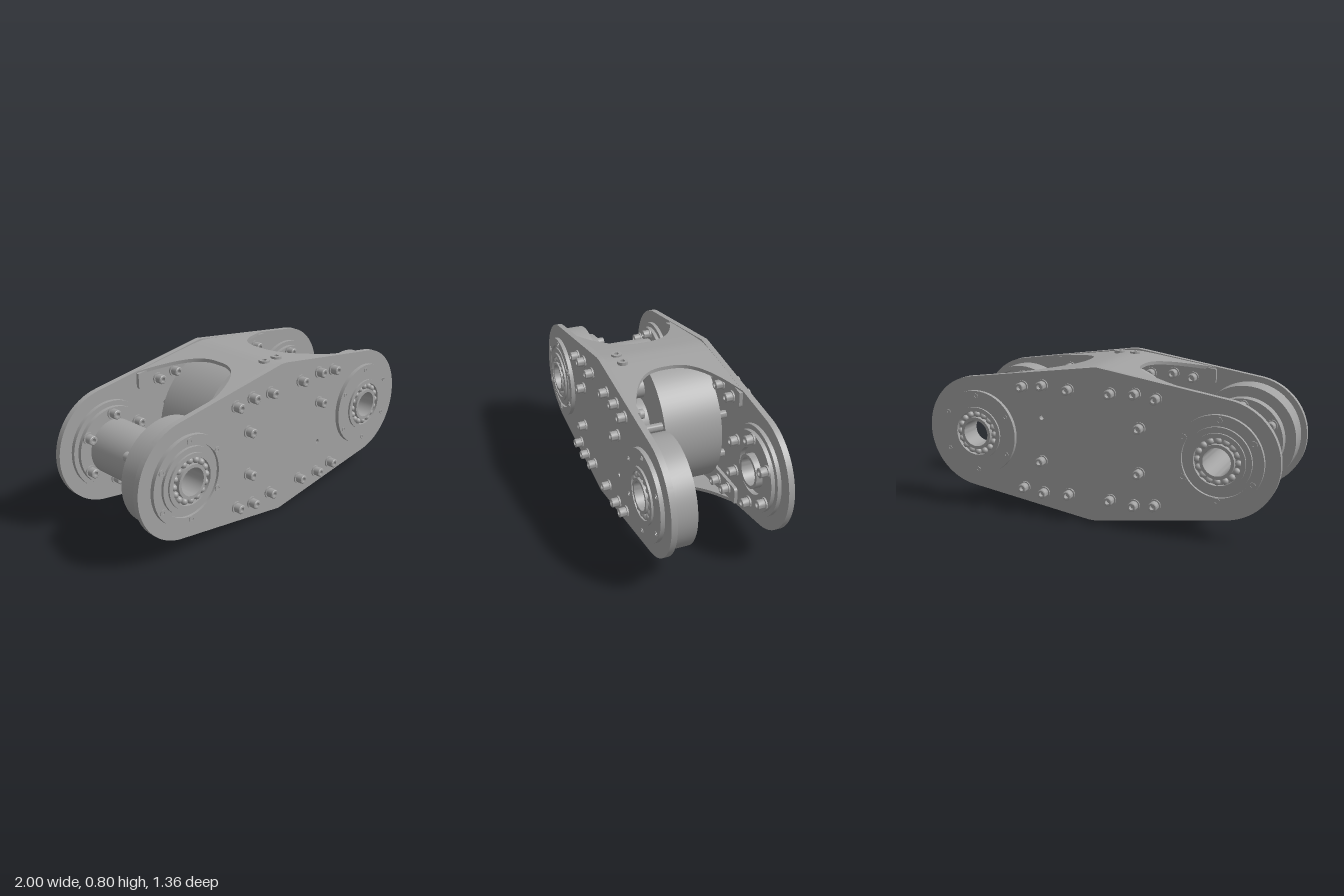
import * as THREE from 'three';
import { toCreasedNormals } from 'three/addons/utils/BufferGeometryUtils.js';

const steel = new THREE.MeshStandardMaterial({ color: 0xa2a2a2 });
steel.name = 'machinedGrey';

const PLATE_IN = 0.275, PLATE_OUT = 0.305, END = 0.66, R_END = 0.3;

function add(parent, name, geo, x = 0, y = 0, z = 0) {
  const m = new THREE.Mesh(geo, steel);
  m.name = name;
  m.position.set(x, y, z);
  parent.add(m);
  return m;
}

// Revolved profile of [radius, z] points around the z axis
function turned(points, segments) {
  const g = new THREE.LatheGeometry(points.map(p => new THREE.Vector2(p[0], p[1])), segments);
  g.rotateX(Math.PI / 2);
  return toCreasedNormals(g, 0.6);
}

// Flat ring between two radii and two depths
const ring = (ri, ro, z0, z1) => turned([[ri, z0], [ro, z0], [ro, z1], [ri, z1], [ri, z0]], 56);

const rod = (r, z0, z1, seg = 24) => turned([[0, z0], [r, z0], [r, z1], [0, z1]], seg);

// Socket head bolt with a washer, pointing to +z
const boltGeo = turned([[0, 0], [0.031, 0], [0.031, 0.008], [0.024, 0.008], [0.024, 0.042], [0.02, 0.045],
  [0.012, 0.045], [0.012, 0.022], [0, 0.022]], 14);
const ballGeo = new THREE.SphereGeometry(0.017, 10, 8);

function circleHole(shape, x, y, r) {
  const h = new THREE.Path();
  h.absarc(x, y, r, 0, Math.PI * 2, true);
  shape.holes.push(h);
}

// Side plate: two round ends joined by tangents to a peak in the middle
function plateGeometry() {
  const a = 0.145;
  const s = new THREE.Shape();
  s.moveTo(0.02, -0.4);
  s.absarc(END, 0, R_END, -Math.PI / 2 + a, Math.PI / 2 - a, false);
  s.lineTo(0.02, 0.4);
  s.lineTo(-0.02, 0.4);
  s.absarc(-END, 0, R_END, Math.PI / 2 + a, Math.PI * 1.5 - a, false);
  s.lineTo(-0.02, -0.4);
  s.closePath();
  circleHole(s, END, 0, 0.12);
  circleHole(s, -END, 0, 0.12);
  circleHole(s, 0.285, -0.115, 0.012);
  const g = new THREE.ExtrudeGeometry(s, { depth: PLATE_OUT - PLATE_IN, bevelEnabled: false, curveSegments: 40 });
  return toCreasedNormals(g, 0.5);
}

// Bearing hub on one end of a plate
function addHub(parent, x, grooved, innerZ) {
  const hub = new THREE.Group();
  hub.name = grooved ? 'groovedHub' : 'plainHub';
  hub.position.x = x;
  parent.add(hub);
  if (grooved) {
    add(hub, 'outerFlange', ring(0.182, 0.226, 0.3, 0.326));
    add(hub, 'innerFlange', ring(0.14, 0.168, 0.3, 0.326));
    add(hub, 'grooveFloor', ring(0.13, 0.2, 0.3, 0.312));
  } else {
    add(hub, 'coverDisc', ring(0.13, 0.226, 0.3, 0.326));
  }
  add(hub, 'outerRace', ring(0.118, 0.14, 0.24, 0.336));
  add(hub, 'innerRace', ring(0.07, 0.086, 0.22, 0.34));
  add(hub, 'raceFloor', ring(0.08, 0.125, 0.26, 0.315));
  for (let i = 0; i < 16; i++) {
    const t = i / 16 * Math.PI * 2;
    add(hub, 'bearingBall', ballGeo, 0.102 * Math.cos(t), 0.102 * Math.sin(t), 0.32);
  }
  // Outer rivets and inner flange bolts
  for (let i = 0; i < 6; i++) {
    const t = Math.PI / 6 + i * Math.PI / 3, c = Math.cos(t), s = Math.sin(t);
    add(hub, 'hubRivet', ring(0.007, grooved ? 0.018 : 0.012, 0.32, 0.33), 0.2 * c, 0.2 * s);
    const b = add(hub, 'innerHubBolt', boltGeo, 0.178 * c, 0.178 * s, innerZ);
    b.rotation.y = Math.PI;
  }
}

// One side: plate, bolts and hubs, facing +z
function buildSide(name, isFront) {
  const side = new THREE.Group();
  side.name = name;
  add(side, 'sidePlate', plateGeometry(), 0, 0, PLATE_IN);
  const rows = [[-0.34, 0.27], [-0.23, 0.285], [-0.1, 0.275], [0.13, 0.275], [0.275, 0.285], [0.39, 0.27]];
  for (const [x, y] of rows) for (const s of [1, -1]) {
    add(side, 'plateBolt', boltGeo, x, y * s, PLATE_OUT);
    add(side, 'flangeBolt', boltGeo, x, y * s, 0.257).rotation.y = Math.PI;
  }
  for (const [x, y] of [[-0.255, 0.115], [-0.255, -0.115], [0.285, 0.115]]) {
    add(side, 'standoffBolt', boltGeo, x, y, PLATE_OUT);
  }
  addHub(side, -END, true, isFront ? 0.1 : 0.235);
  addHub(side, END, false, 0.235);
  for (const x of [-END, END]) {
    if (isFront && x < 0) continue;
    add(side, 'innerHubFlange', ring(0.118, 0.23, 0.255, PLATE_IN), x);
    add(side, 'innerHubRing', ring(0.118, 0.205, 0.235, 0.256), x);
  }
  if (isFront) {
    add(side, 'pulleyDrum', ring(0.118, 0.27, 0.155, PLATE_IN), -END);
    add(side, 'pulleyFlange', ring(0.1, 0.215, 0.1, 0.156), -END);
    add(side, 'hollowRim', ring(0.25, 0.272, 0.165, PLATE_IN), END);
  }
  return side;
}

// Height of the roof web over x, following the plate edge
const roofY = x => 0.4 - 0.145 * Math.sqrt(x * x + 0.0025);

// Hourglass web bent over the peak of the plates
function webGeometry() {
  const g = new THREE.BoxGeometry(2, 0.018, 0.55, 24, 1, 32);
  const p = g.attributes.position;
  for (let i = 0; i < p.count; i++) {
    const z = p.getZ(i);
    const x = p.getX(i) * (0.155 + 0.305 * Math.pow(Math.abs(z) / 0.275, 2.7));
    p.setXYZ(i, x, p.getY(i) + roofY(x) - 0.011, z);
  }
  return toCreasedNormals(g, 0.6);
}

// Flange turned down from the web along a plate
function flangeGeometry() {
  const s = new THREE.Shape();
  s.moveTo(-0.44, 0.235);
  s.lineTo(0.44, 0.235);
  s.quadraticCurveTo(0.465, 0.235, 0.465, 0.26);
  for (let i = 0; i <= 16; i++) {
    const x = 0.465 - 0.93 * i / 16;
    s.lineTo(x, roofY(x) - 0.01);
  }
  s.lineTo(-0.465, 0.26);
  s.quadraticCurveTo(-0.465, 0.235, -0.44, 0.235);
  return new THREE.ExtrudeGeometry(s, { depth: 0.018, bevelEnabled: false });
}

export function createModel() {
  const model = new THREE.Group();
  model.name = 'armLink';
  const link = new THREE.Group();
  link.name = 'linkBody';
  link.position.y = 0.4;
  link.rotation.y = 25 * Math.PI / 180;
  model.add(link);

  // Side assemblies
  link.add(buildSide('frontSide', true));
  const back = buildSide('backSide', false);
  back.rotation.x = Math.PI;
  link.add(back);

  // Top and bottom webs
  for (const turn of [0, Math.PI]) {
    const web = new THREE.Group();
    web.name = turn ? 'bottomWeb' : 'topWeb';
    web.rotation.x = turn;
    add(web, 'webSheet', webGeometry());
    add(web, 'webFlange', flangeGeometry(), 0, 0, 0.257);
    add(web, 'webFlange', flangeGeometry(), 0, 0, -0.275);
    link.add(web);
  }
  // Terminals on the top web
  for (const x of [-0.026, 0.063]) {
    add(link, 'terminal', ring(0.012, 0.028, 0, 0.03), x, 0.37, 0.197).rotation.x = -Math.PI / 2;
  }

  // Hollow shaft joining the left hubs
  add(link, 'shaft', ring(0.07, 0.142, -0.25, 0.11), -END);

  // Central drive drum, standoffs and actuators
  add(link, 'driveDrum', rod(0.352, -0.23, 0.075, 72));
  add(link, 'driveCore', rod(0.13, 0.07, 0.2, 40));
  for (const x of [-0.27, 0.285]) for (const y of [-0.115, 0.115]) {
    add(link, 'standoff', rod(0.02, -PLATE_IN, PLATE_IN), x, y);
  }
  for (const y of [-0.2, 0.2]) {
    add(link, 'actuator', rod(0.055, 0.07, 0.21), 0, y);
    add(link, 'actuatorPin', rod(0.022, 0.2, PLATE_IN), 0, y);
  }
  return model;
}
